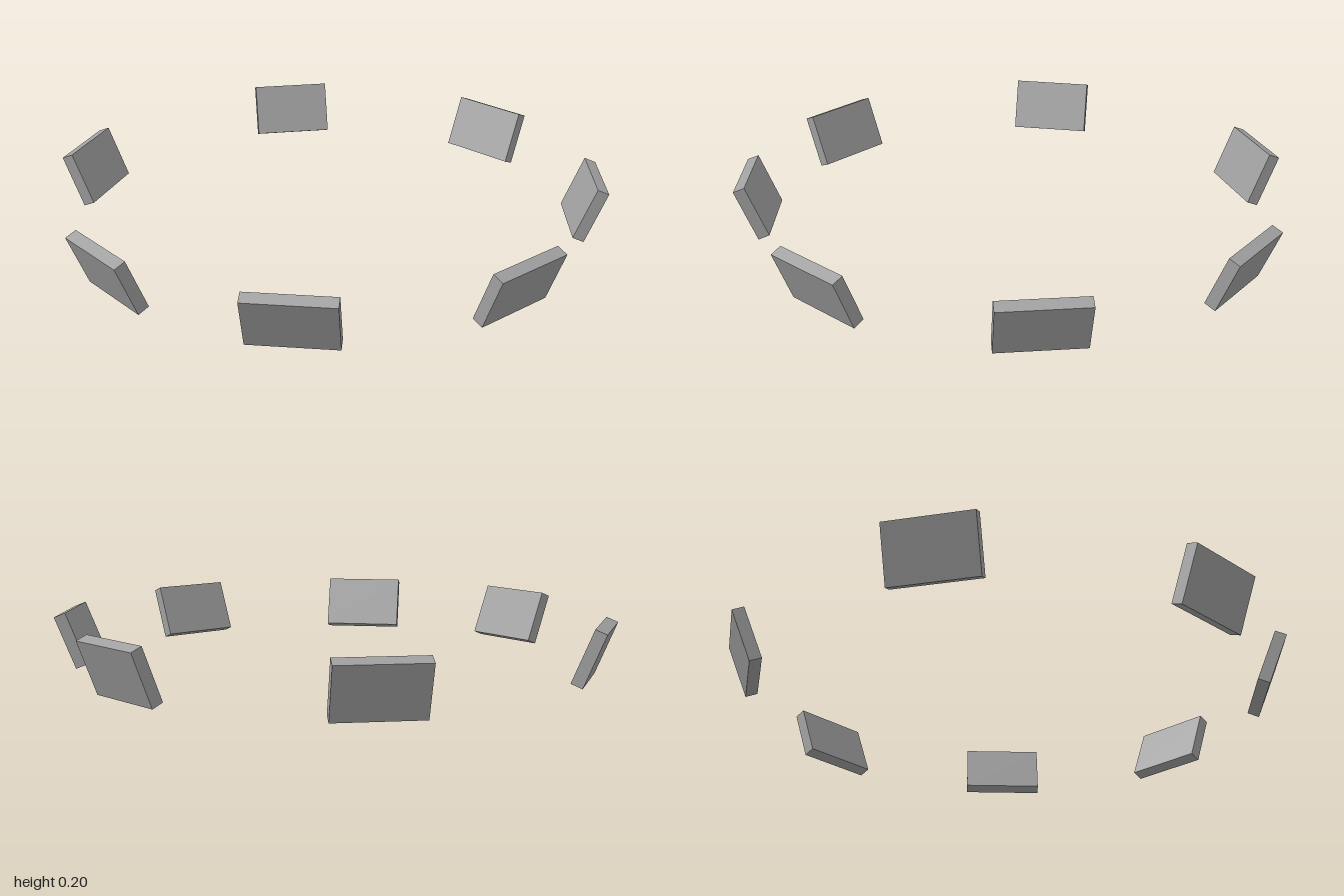
import * as THREE from 'three';

const WIDTH = 0.3, HEIGHT = 0.2, DEPTH = 0.0435;
const TILT = THREE.MathUtils.degToRad(22);

// Each panel: name, centre x, centre z, outward heading in degrees (0 = +z, 90 = +x)
const PANELS = [
  ['frontPanel', -0.005, 0.9, 0],
  ['frontLeftPanel', 0.679, 0.6, 47.9],
  ['leftPanel', 0.928, -0.12, 95],
  ['backLeftPanel', 0.473, -0.842, 148.8],
  ['backRightPanel', -0.503, -0.831, 212],
  ['rightPanel', -0.942, -0.035, 270],
  ['frontRightPanel', -0.692, 0.602, 312.8],
];

export function createModel() {
  const model = new THREE.Group();
  model.name = 'panelRing';

  const grey = new THREE.MeshStandardMaterial({ color: 0xa0a0a0 });
  grey.name = 'grey';

  const slab = new THREE.BoxGeometry(WIDTH, HEIGHT, DEPTH);
  const centreY = (HEIGHT * Math.cos(TILT) + DEPTH * Math.sin(TILT)) / 2;

  // Ring of separate slabs, each leaning outward at the top
  for (const [name, x, z, heading] of PANELS) {
    const panel = new THREE.Mesh(slab, grey);
    panel.name = name;
    panel.position.set(x, centreY, z);
    panel.rotation.set(TILT, THREE.MathUtils.degToRad(heading), 0, 'YXZ');
    model.add(panel);
  }
  return model;
}
